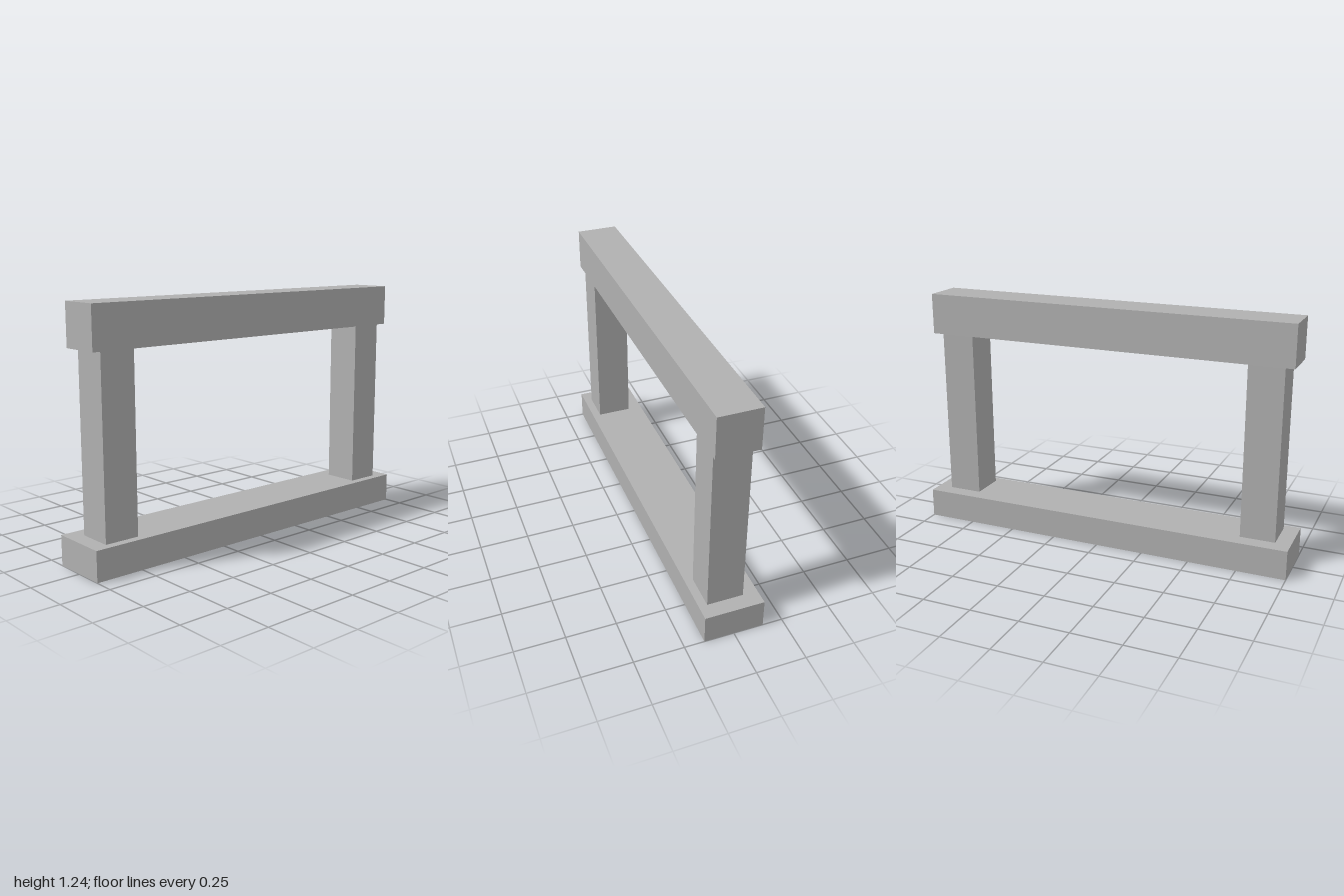
import * as THREE from 'three';

export function createModel() {
  const model = new THREE.Group();
  model.name = 'gateFrame';

  const stone = new THREE.MeshStandardMaterial({ color: 0xb0b0b0 });
  stone.name = 'stone grey';

  // Box given by its lower and upper limits on each axis
  const block = (name, [x0, x1], [y0, y1], [z0, z1]) => {
    const mesh = new THREE.Mesh(new THREE.BoxGeometry(x1 - x0, y1 - y0, z1 - z0), stone);
    mesh.position.set((x0 + x1) / 2, (y0 + y1) / 2, (z0 + z1) / 2);
    mesh.name = name;
    model.add(mesh);
  };

  // Base slab and top beam
  block('base', [-1, 1], [0, 0.151], [-0.15, 0.15]);
  block('lintel', [-0.97, 0.97], [1.033, 1.244], [-0.09, 0.121]);

  // Mirrored uprights, set slightly forward like the beam
  block('leftPost', [0.744, 0.922], [0.151, 1.033], [-0.074, 0.108]);
  block('rightPost', [-0.922, -0.744], [0.151, 1.033], [-0.074, 0.108]);

  return model;
}
